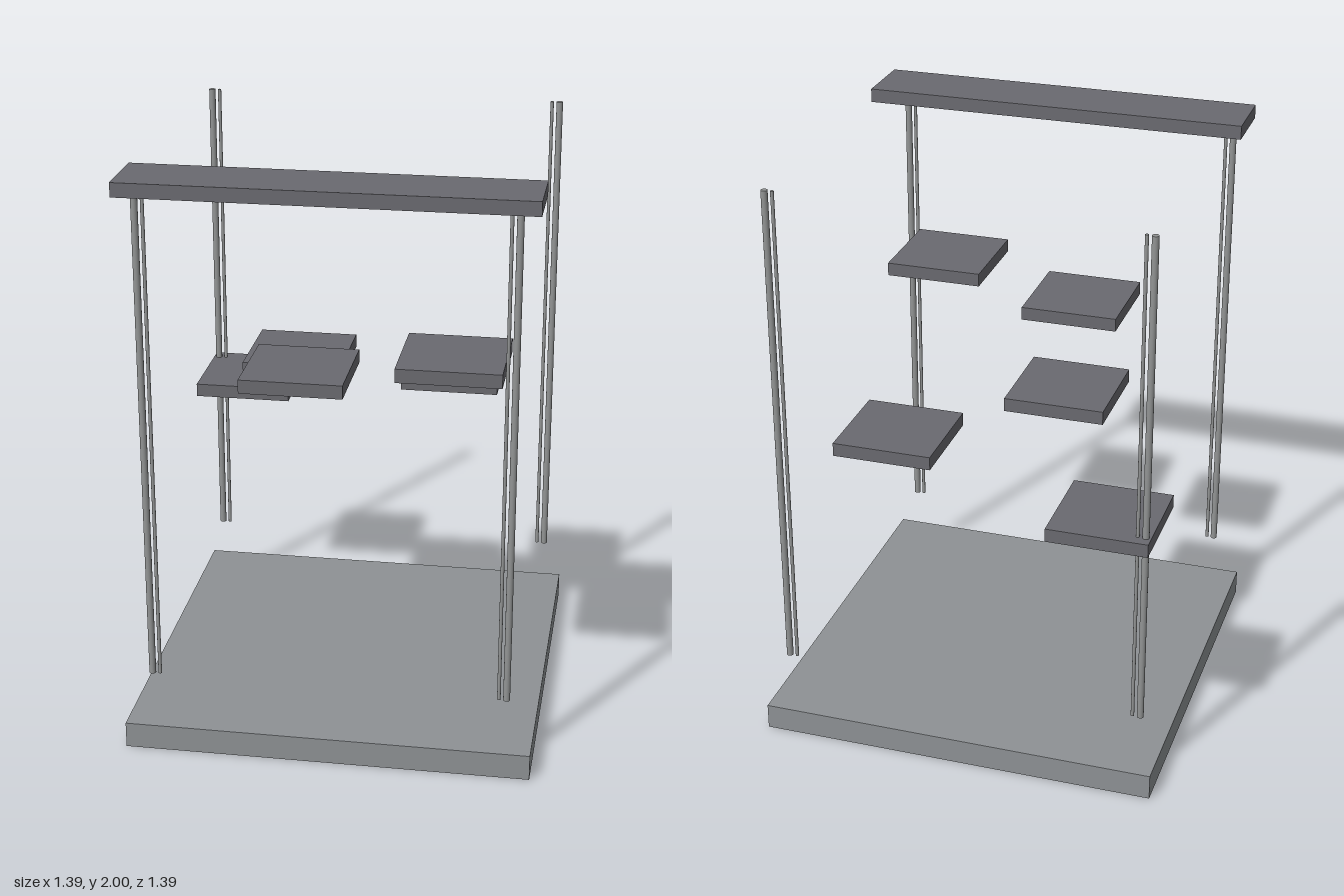
import * as THREE from 'three';

export function createModel() {
  const model = new THREE.Group();
  model.name = 'floatingStepsDisplay';

  const stone = new THREE.MeshStandardMaterial({ name: 'light grey', color: 0x8e9295 });
  const slate = new THREE.MeshStandardMaterial({ name: 'dark grey', color: 0x6a6a70 });
  const steel = new THREE.MeshStandardMaterial({ name: 'steel grey', color: 0x929494 });

  const add = (name, geometry, material, x, y, z) => {
    const mesh = new THREE.Mesh(geometry, material);
    mesh.name = name;
    mesh.position.set(x, y, z);
    model.add(mesh);
  };

  // Square base and the long top shelf along the front
  add('base', new THREE.BoxGeometry(1.388, 0.09, 1.388), stone, 0, 0.045, 0);
  add('topShelf', new THREE.BoxGeometry(1.345, 0.048, 0.238), slate, 0, 1.976, 0.554);

  // Five square floating steps, rising from back to front
  const stepGeometry = new THREE.BoxGeometry(0.345, 0.047, 0.345);
  [
    [-0.48, 0.934, -0.48],
    [0.303, 1.058, -0.349],
    [-0.218, 1.18, -0.088],
    [-0.131, 1.301, 0.39],
    [0.389, 1.387, 0.436],
  ].forEach((p, i) => add('step' + (i + 1), stepGeometry, slate, ...p));

  // A thick and a thin rod at each corner; the front pairs end under the shelf
  const bottom = 0.265;
  const addRod = (name, radius, x, z, top) => {
    const geometry = new THREE.CylinderGeometry(radius, radius, top - bottom, 20);
    add(name, geometry, steel, x, (top + bottom) / 2, z);
  };
  for (const side of [-1, 1]) {
    const label = side > 0 ? 'Left' : 'Right';
    addRod('back' + label + 'ThickRod', 0.0115, side * 0.634, -0.609, 2);
    addRod('back' + label + 'ThinRod', 0.006, side * 0.607, -0.609, 2);
    addRod('front' + label + 'ThickRod', 0.0115, side * 0.606, 0.636, 1.955);
    addRod('front' + label + 'ThinRod', 0.006, side * 0.58, 0.636, 1.955);
  }
  return model;
}
